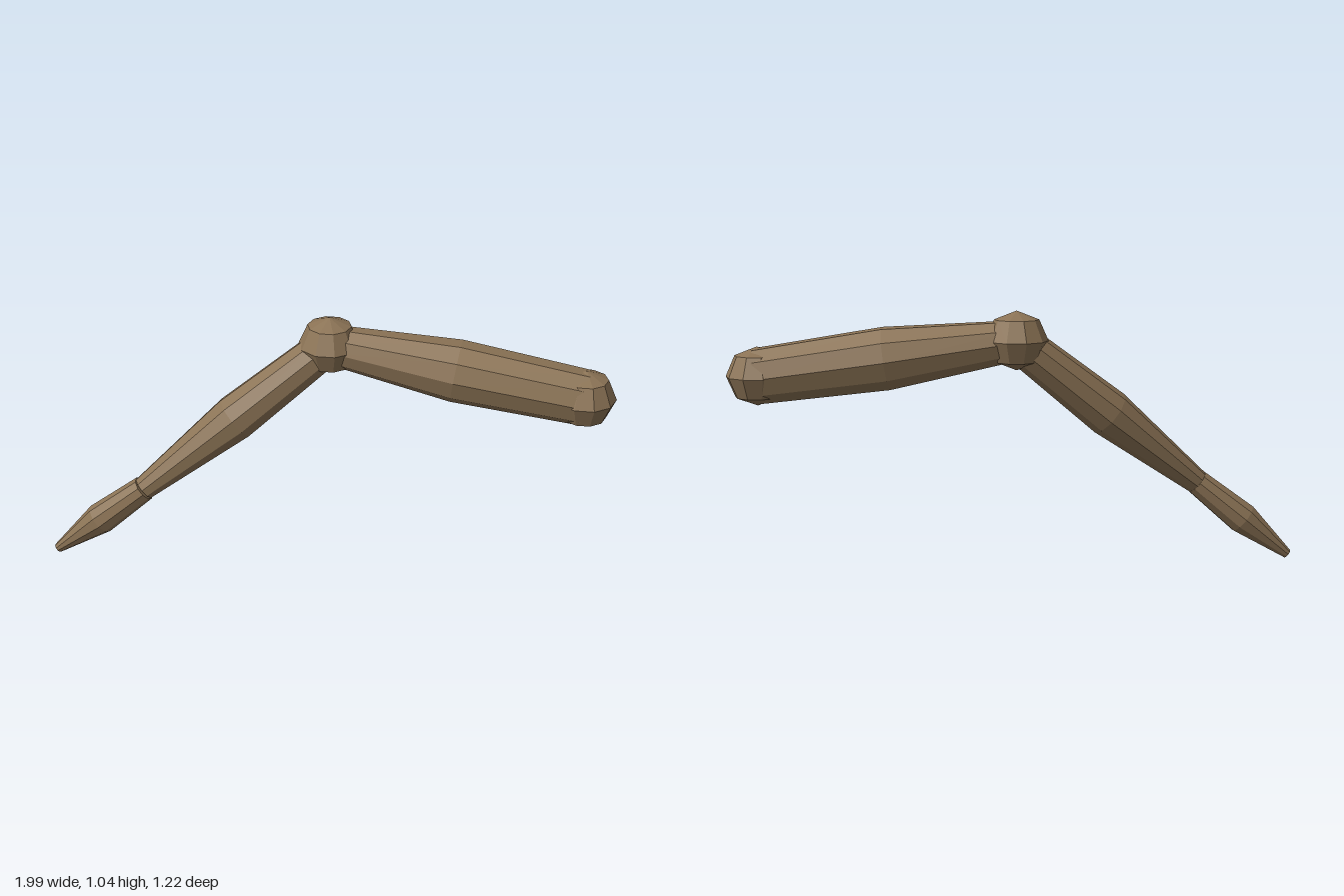
import * as THREE from 'three';

export function createModel() {
  const group = new THREE.Group();
  const chitin = new THREE.MeshStandardMaterial({ color: 0x8b7355, flatShading: true });
  chitin.name = 'brown shell';

  // Joint centres from the body down to the toe
  const hip = new THREE.Vector3(0.863, 0.782, 0.488);
  const knee = new THREE.Vector3(0.06, 0.926, -0.135);
  const ankle = new THREE.Vector3(-0.66, 0.323, -0.396);
  const toe = new THREE.Vector3(-0.984, 0.016, -0.594);

  // Closed leg segment that swells in the middle
  function segment(name, from, to, rStart, rMid, rEnd) {
    const dir = to.clone().sub(from);
    const length = dir.length();
    const profile = [[0, 0], [rStart, 0], [rMid, length / 2], [rEnd, length], [0, length]]
      .map(([r, y]) => new THREE.Vector2(r, y));
    const mesh = new THREE.Mesh(new THREE.LatheGeometry(profile, 10), chitin);
    mesh.name = name;
    mesh.position.copy(from);
    mesh.quaternion.setFromUnitVectors(new THREE.Vector3(0, 1, 0), dir.normalize());
    group.add(mesh);
  }

  // Faceted ball joint
  function joint(name, centre) {
    const mesh = new THREE.Mesh(new THREE.SphereGeometry(0.124, 10, 4), chitin);
    mesh.name = name;
    mesh.scale.y = 0.94;
    mesh.position.copy(centre);
    group.add(mesh);
  }

  joint('hipJoint', hip);
  segment('upperLeg', hip, knee, 0.112, 0.126, 0.08);
  joint('kneeJoint', knee);
  segment('lowerLeg', knee, ankle, 0.078, 0.096, 0.05);
  segment('foot', ankle, toe, 0.053, 0.066, 0.02);

  return group;
}
